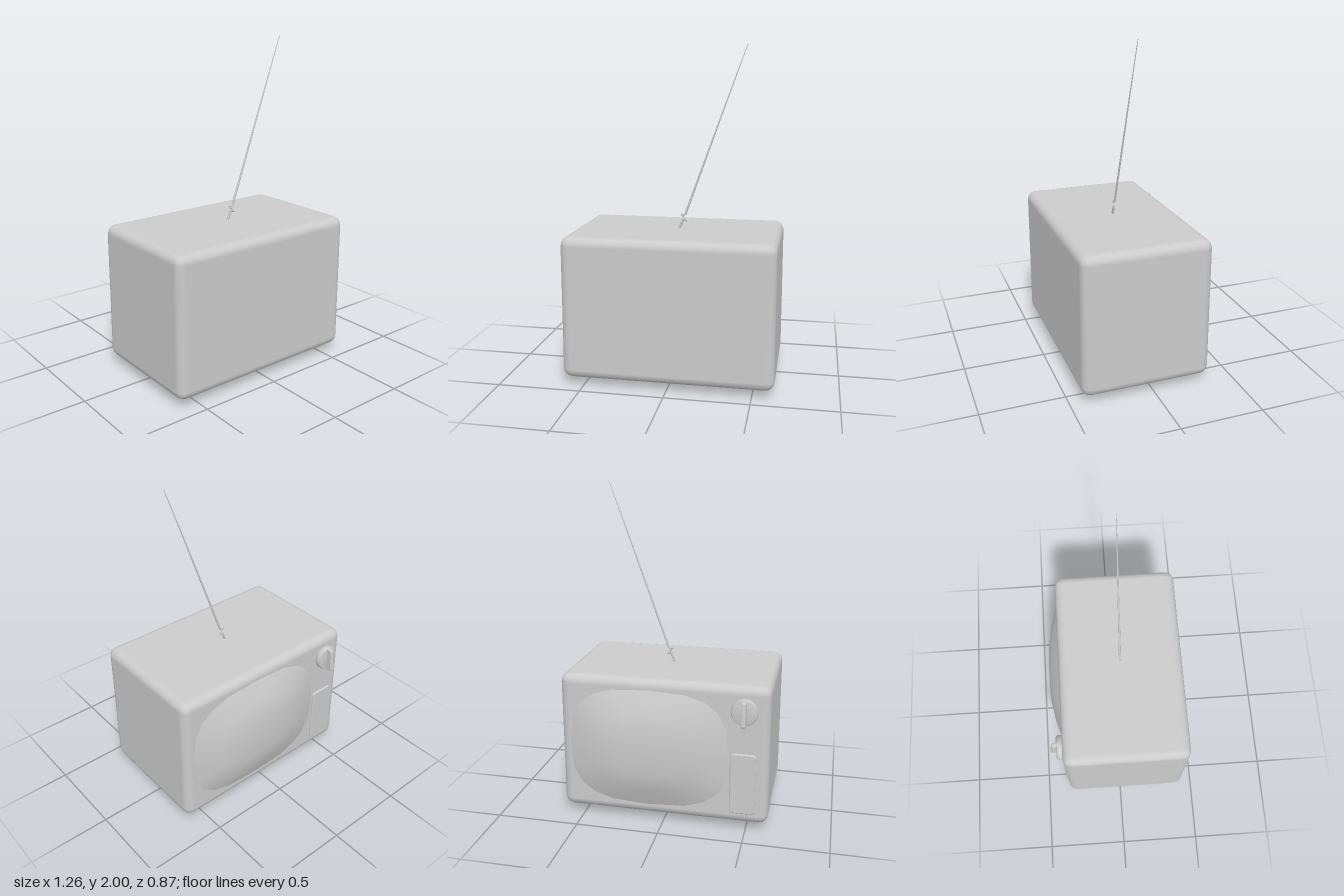
import * as THREE from 'three';
import { RoundedBoxGeometry } from 'three/addons/geometries/RoundedBoxGeometry.js';

const material = new THREE.MeshStandardMaterial({ color: 0xcccccc });
const BACK = -0.355; // plane that carries the screen and controls

function part(parent, name, geometry, x = 0, y = 0, z = 0) {
  const mesh = new THREE.Mesh(geometry, material);
  mesh.name = name;
  mesh.position.set(x, y, z);
  parent.add(mesh);
  return mesh;
}

// Bulging tube face: shrinking superellipse rings that rise towards -z
function screenGeometry() {
  const rings = [[0.48, 0.365, 0, 3], [0.325, 0.25, -0.05, 2.6], [0.205, 0.145, -0.073, 2.3], [0, 0, -0.073, 2]];
  const sides = 20, pos = [], index = [];
  const bend = (v, n) => Math.sign(v) * Math.abs(v) ** (2 / n);
  for (const [hx, hy, z, n] of rings) {
    for (let i = 0; i < sides; i++) {
      const a = (i / sides) * Math.PI * 2;
      pos.push(hx * bend(Math.cos(a), n), hy * bend(Math.sin(a), n), z);
    }
  }
  for (let r = 0; r < rings.length - 1; r++) {
    for (let i = 0; i < sides; i++) {
      const a = r * sides + i, b = r * sides + (i + 1) % sides;
      index.push(a, a + sides, b);
      if (r < rings.length - 2) index.push(b, a + sides, b + sides);
    }
  }
  const g = new THREE.BufferGeometry();
  g.setAttribute('position', new THREE.Float32BufferAttribute(pos, 3));
  g.setIndex(index);
  g.computeVertexNormals();
  return g;
}

// Rounded rectangle outline for the control panel
function roundedRect(w, h, r) {
  const s = new THREE.Shape(), x = w / 2, y = h / 2;
  s.absarc(x - r, y - r, r, 0, Math.PI / 2);
  s.absarc(-x + r, y - r, r, Math.PI / 2, Math.PI);
  s.absarc(-x + r, -y + r, r, Math.PI, Math.PI * 1.5);
  s.absarc(x - r, -y + r, r, Math.PI * 1.5, Math.PI * 2);
  return s;
}

function rod(parent, from, to, r0, r1) {
  const a = new THREE.Vector3(...from, 0), b = new THREE.Vector3(...to, 0);
  const dir = b.clone().sub(a);
  const mesh = part(parent, 'antennaSection', new THREE.CylinderGeometry(r1, r0, dir.length(), 8));
  mesh.position.copy(a).add(b).multiplyScalar(0.5);
  mesh.quaternion.setFromUnitVectors(new THREE.Vector3(0, 1, 0), dir.normalize());
}

export function createModel() {
  const model = new THREE.Group();
  model.name = 'television';

  part(model, 'cabinet', new RoundedBoxGeometry(1.26, 0.86, 0.785, 2, 0.055), 0, 0.47, 0.0375);
  part(model, 'screen', screenGeometry(), 0.09, 0.472, BACK);
  part(model, 'foot', new THREE.CylinderGeometry(0.045, 0.045, 0.05, 16), 0.475, 0.025, -0.205);

  // Control panel, slightly proud of the cabinet
  const panel = new THREE.ExtrudeGeometry(roundedRect(0.145, 0.37, 0.02), {
    depth: 0.006, bevelThickness: 0.005, bevelSize: 0.005, bevelSegments: 1, curveSegments: 4,
  });
  part(model, 'controlPanel', panel, -0.48, 0.3, BACK - 0.006);

  // Channel knob: rounded disc with a tapered grip
  const knob = new THREE.Group();
  knob.name = 'channelKnob';
  knob.position.set(-0.482, 0.755, BACK);
  model.add(knob);
  const profile = [[0.074, 0], [0.078, 0.006], [0.078, 0.028], [0.07, 0.038], [0, 0.04]]
    .map(([x, y]) => new THREE.Vector2(x, y));
  part(knob, 'knobDisc', new THREE.LatheGeometry(profile, 20)).rotation.x = -Math.PI / 2;
  const grip = new THREE.Shape([[-0.075, 0.02], [0.072, 0.02], [0.07, 0.058], [0.062, 0.064], [-0.065, 0.078], [-0.075, 0.074]]
    .map(([y, z]) => new THREE.Vector2(z, y)));
  const gripMesh = part(knob, 'knobGrip', new THREE.ExtrudeGeometry(grip, {
    depth: 0.018, bevelThickness: 0.004, bevelSize: 0.003, bevelSegments: 1,
  }), 0.013, 0, 0);
  gripMesh.rotation.y = Math.PI / 2;
  gripMesh.position.x = -0.009;

  // Kinked telescopic antenna
  const antenna = new THREE.Group();
  antenna.name = 'antenna';
  antenna.position.z = 0.037;
  model.add(antenna);
  const path = [[0.008, 0.89], [0.036, 0.958], [0.062, 0.945], [0.022, 0.987], [0.048, 0.985], [0.17, 1.325], [0.29, 1.66], [0.414, 2]];
  const radii = [0.008, 0.007, 0.004, 0.004, 0.007, 0.0055, 0.004, 0.002];
  for (let i = 0; i < path.length - 1; i++) rod(antenna, path[i], path[i + 1], radii[i], radii[i + 1]);

  return model;
}
